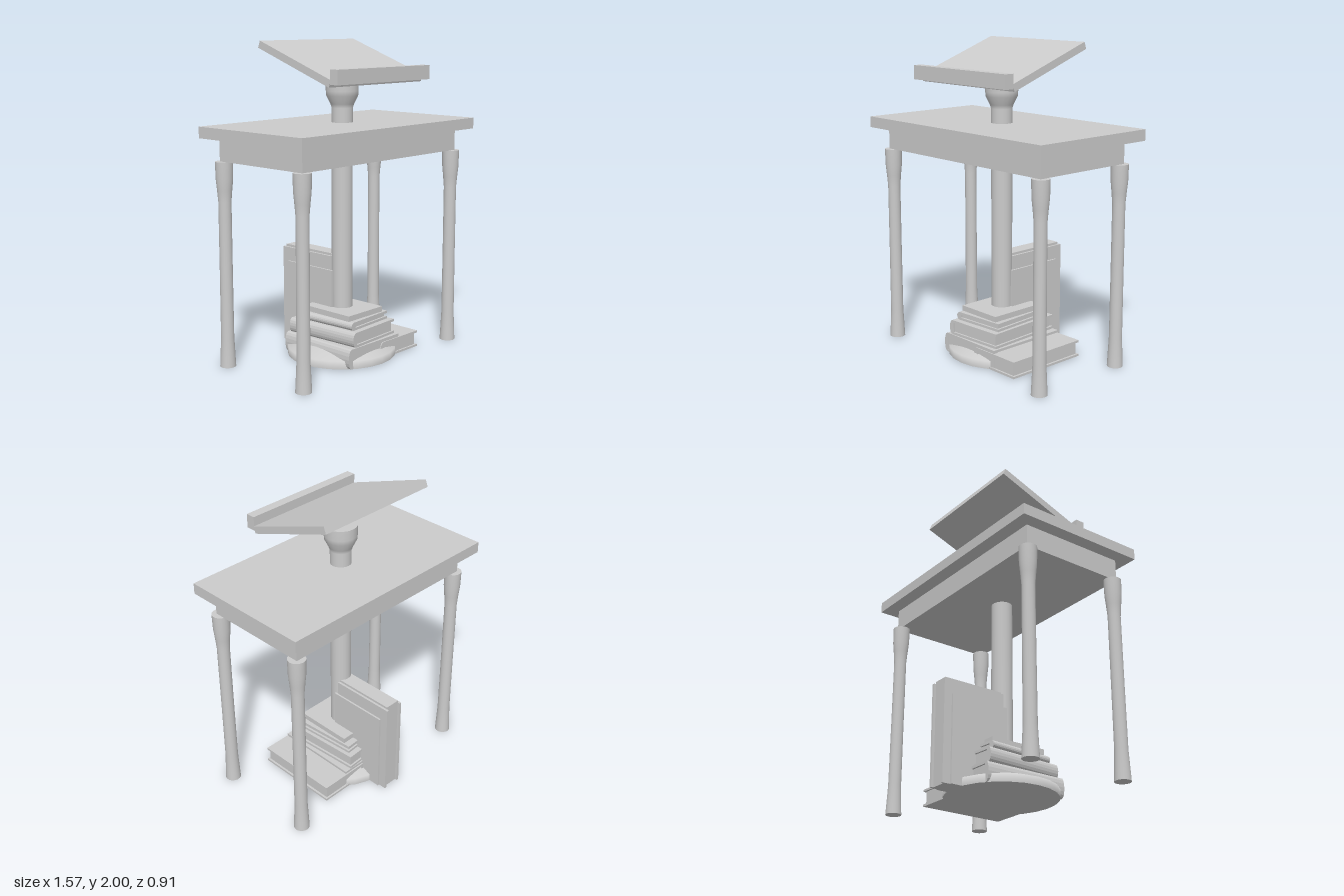
import * as THREE from 'three';

const mat = new THREE.MeshStandardMaterial({ color: 0xcccccc });

function add(parent, name, geometry, x = 0, y = 0, z = 0) {
  const mesh = new THREE.Mesh(geometry, mat);
  mesh.name = name;
  mesh.position.set(x, y, z);
  parent.add(mesh);
  return mesh;
}

// Box given by its minimum and maximum corners
function box(parent, name, [x0, y0, z0], [x1, y1, z1]) {
  return add(parent, name, new THREE.BoxGeometry(x1 - x0, y1 - y0, z1 - z0),
    (x0 + x1) / 2, (y0 + y1) / 2, (z0 + z1) / 2);
}

// Turned part: [radius, height] pairs; every segment keeps its own crisp edge only where caps meet
function turned(parent, name, points, segments, x, z) {
  const [first, last] = [points[0], points[points.length - 1]];
  const profile = [[0, first[1]], first, ...points, last, [0, last[1]]];
  return add(parent, name,
    new THREE.LatheGeometry(profile.map(p => new THREE.Vector2(...p)), segments), x, 0, z);
}

// Lying book: covers, recessed pages and a rounded spine along -x
function lyingBook(parent, name, w, h, d, x, y, z, turn, cover = 0.016) {
  const book = new THREE.Group();
  book.name = name;
  book.position.set(x, y, z);
  book.rotation.y = turn;
  box(book, 'lowerCover', [-w / 2, 0, -d / 2], [w / 2, cover, d / 2]);
  box(book, 'upperCover', [-w / 2, h - cover, -d / 2], [w / 2, h, d / 2]);
  box(book, 'pages', [-w / 2, cover, -d / 2 + 0.012], [w / 2 - 0.014, h - cover, d / 2 - 0.012]);
  const shape = new THREE.Shape();
  shape.moveTo(0.01, h);
  shape.lineTo(0, h);
  shape.bezierCurveTo(-0.035, h, -0.035, 0, 0, 0);
  shape.lineTo(0.01, 0);
  const spine = new THREE.ExtrudeGeometry(shape, { depth: d, bevelEnabled: false, curveSegments: 8 });
  add(book, 'spine', spine, -w / 2, 0, -d / 2);
  parent.add(book);
}

export function createModel() {
  const model = new THREE.Group();
  model.name = 'readingTable';

  // Table
  box(model, 'tableTop', [-0.787, 1.425, -0.42], [0.787, 1.495, 0.455]);
  box(model, 'apron', [-0.702, 1.285, -0.332], [0.702, 1.425, 0.37]);
  for (const x of [-0.685, 0.685]) {
    for (const z of [0.352, -0.313]) {
      turned(model, 'leg', [[0.05, 0], [0.047, 0.06], [0.041, 0.19], [0.04, 0.6], [0.04, 1.04],
        [0.046, 1.11], [0.053, 1.18], [0.055, 1.285]], 20, x, z);
    }
  }

  // Central column with flared head
  turned(model, 'column', [[0.067, 0.05], [0.067, 1.585], [0.075, 1.61], [0.1, 1.66],
    [0.103, 1.69], [0.103, 1.755]], 20, 0, 0.019);

  // Round foot with sloping upper side
  turned(model, 'foot', [[0.35, 0], [0.35, 0.05], [0.21, 0.1]], 24, 0, 0.015);

  // Sloping book rest and its ledge
  const rest = new THREE.Group();
  rest.name = 'bookRest';
  model.add(rest);
  const angle = Math.atan2(0.215, 0.592);
  const board = add(rest, 'restBoard', new THREE.BoxGeometry(0.84, 0.046, 0.629), 0, 1.87, 0.017);
  board.rotation.x = angle;
  box(rest, 'restLedge', [-0.42, 1.757, 0.315], [0.42, 1.845, 0.375]);

  // Stack of lying books around the column
  lyingBook(model, 'bottomBook', 0.45, 0.128, 0.56, 0.01, 0, 0.02, 0);
  box(model, 'bottomBookFront', [-0.215, 0.003, 0.27], [0.232, 0.125, 0.298]);
  lyingBook(model, 'secondBook', 0.39, 0.095, 0.53, 0.01, 0.128, 0.018, 0.06);
  lyingBook(model, 'thirdBook', 0.34, 0.052, 0.45, 0.012, 0.223, 0.018, 0.07);
  box(model, 'topBook', [-0.155, 0.275, -0.17], [0.16, 0.31, 0.22]);
  lyingBook(model, 'sideBook', 0.34, 0.107, 0.57, 0.248, 0, 0.02, 0, 0.014);

  // Large upright book behind the column
  const upright = new THREE.Group();
  upright.name = 'uprightBook';
  model.add(upright);
  box(upright, 'uprightPages', [-0.05, 0, -0.438], [0.05, 0.655, -0.022]);
  for (const s of [-1, 1]) {
    const cover = new THREE.BoxGeometry(0.016, 0.64, 0.435);
    add(upright, 'uprightCover', cover, s * 0.057, 0.32, -0.2355);
    add(upright, 'coverPanel', new THREE.BoxGeometry(0.014, 0.55, 0.4), s * 0.07, 0.275, -0.2);
  }
  return model;
}
